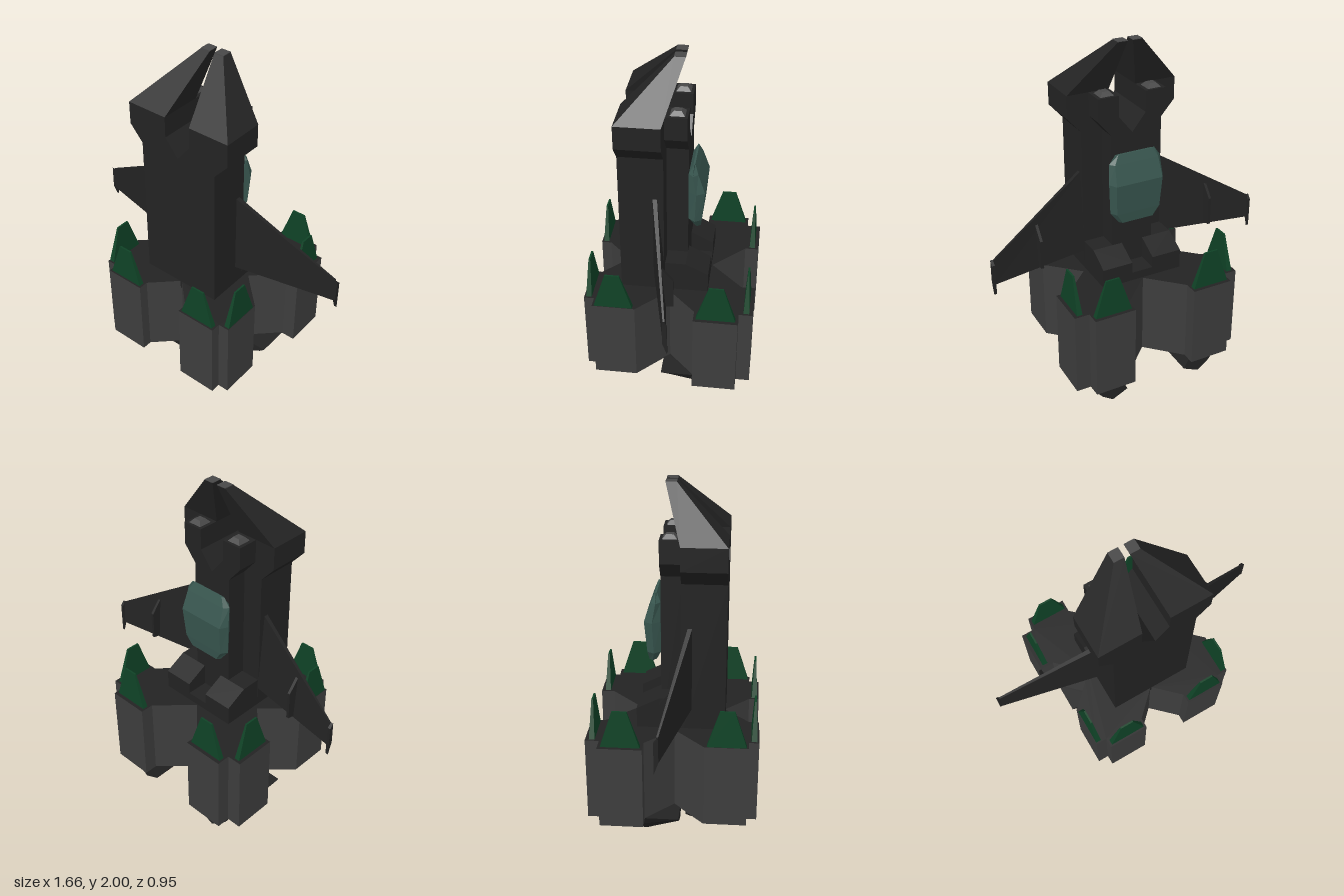
import * as THREE from 'three';

const mat = (name, color, opts = {}) =>
  Object.assign(new THREE.MeshStandardMaterial({ color, flatShading: true, ...opts }), { name });

export function createModel() {
  const hull = mat('hull black', 0x232323);
  const grey = mat('pod grey', 0x3d3d3d);
  const green = mat('fin green', 0x0f4226);
  const glass = mat('canopy glass', 0x38564f);
  const red = mat('exhaust red', 0x360808, { side: THREE.DoubleSide });
  const metal = mat('tip grey', 0x484848);

  const model = new THREE.Group();
  model.name = 'starfighter';
  const add = (name, geo, material) => {
    const m = new THREE.Mesh(geo, material);
    m.name = name;
    model.add(m);
    return m;
  };

  // Joins cross-sections into a closed, flat-faced solid with outward faces
  const loft = (rings) => {
    const n = rings[0].length, tris = [];
    for (let r = 0; r < rings.length - 1; r++)
      for (let i = 0; i < n; i++) {
        const j = (i + 1) % n, a = rings[r], b = rings[r + 1];
        tris.push([a[i], a[j], b[j]], [a[i], b[j], b[i]]);
      }
    const end = rings[rings.length - 1];
    for (let i = 1; i < n - 1; i++) tris.push([rings[0][0], rings[0][i + 1], rings[0][i]], [end[0], end[i], end[i + 1]]);
    const c = new THREE.Vector3(...rings[0][0]);
    let volume = 0;
    for (const t of tris) {
      const [p, q, s] = t.map((v) => new THREE.Vector3(...v).sub(c));
      volume += p.dot(q.cross(s));
    }
    if (volume < 0) tris.forEach((t) => t.reverse());
    const g = new THREE.BufferGeometry();
    g.setAttribute('position', new THREE.Float32BufferAttribute(tris.flat(2), 3));
    g.computeVertexNormals();
    return g;
  };
  const rectY = (x0, x1, z0, z1, y) => [[x0, y, z0], [x1, y, z0], [x1, y, z1], [x0, y, z1]];
  const box = (x0, x1, y0, y1, z0, z1) => loft([rectY(x0, x1, z0, z1, y0), rectY(x0, x1, z0, z1, y1)]);
  const mirrored = (half) => [...half, ...half.filter((p) => p[0] > 0).reverse().map(([x, y]) => [-x, y])];
  const extrude = (pts, depth) =>
    new THREE.ExtrudeGeometry(new THREE.Shape(pts.map((p) => new THREE.Vector2(...p))), { depth, bevelEnabled: false });

  // Fuselage and its rear spine, both with a forked, flared head
  const forked = (w, flare, y0) =>
    mirrored([[0, 1.5], [0.08, 1.6], [0.08, 1.72], [flare, 1.72], [flare, 1.59], [w, 1.5], [w, y0]]);
  add('fuselage', extrude(forked(0.245, 0.325, 0.6), 0.245).translate(0, 0, 0.035), hull);
  add('spine', extrude(forked(0.125, 0.2, 0.6), 0.12).translate(0, 0, -0.085), hull);

  // Cross-shaped engine block: dark caps, grey walls
  const rightHalf = [[0, -0.275], [0.145, -0.415], [0.145, -0.472], [0.385, -0.472], [0.385, -0.415], [0.45, -0.415],
    [0.45, -0.175], [0.32, -0.05], [0.27, 0], [0.43, 0.155], [0.51, 0.155], [0.51, 0.4], [0.425, 0.4],
    [0.425, 0.478], [0.185, 0.478], [0.185, 0.4], [0, 0.218]];
  const block = extrude(mirrored(rightHalf), 0.49);
  block.rotateX(-Math.PI / 2).translate(0, 0.16, 0);
  add('engineBlock', block, [hull, grey]);

  // Canopy: octagonal outline swelling away from the spine
  const canopyRing = (y, w, zOut, zIn) =>
    [[-w * 0.8, y, zIn], [w * 0.8, y, zIn], [w, y, (zIn + zOut) / 2], [w * 0.85, y, zOut], [-w * 0.85, y, zOut], [-w, y, (zIn + zOut) / 2]];
  add('canopy', loft([
    canopyRing(1.0, 0.11, -0.152, -0.112), canopyRing(1.06, 0.155, -0.16, -0.085),
    canopyRing(1.24, 0.165, -0.176, -0.085), canopyRing(1.35, 0.155, -0.138, -0.085),
    canopyRing(1.4, 0.12, -0.118, -0.108)]), glass);
  add('rearDeck', box(-0.245, 0.245, 0.6, 0.7, -0.212, 0.04), hull);

  for (const s of [1, -1]) {
    const side = s > 0 ? 'left' : 'right';
    const put = (name, geo, m) => add(side + name, geo, m);
    const flip = (rings) => rings.map((r) => r.map(([x, y, z]) => [s * x, y, z]));
    const part = (name, rings, m = hull) => put(name, loft(flip(rings)), m);

    // Nose prongs, their tips and the gun muzzles
    part('Prong', [rectY(0.08, 0.325, 0.035, 0.28, 1.72), rectY(0.015, 0.072, -0.06, 0, 1.997)]);
    part('ProngTip', [rectY(0.015, 0.072, -0.06, 0, 1.997), rectY(0.015, 0.072, -0.06, 0, 2)], metal);
    part('GunMuzzle', [rectY(0.1, 0.18, -0.07, 0.01, 1.72), rectY(0.12, 0.16, -0.05, -0.01, 1.742)], metal);

    // Swept wing with fence and tip spike
    part('Wing', [
      [[0.22, 1.265, 0.1], [0.22, 1.265, 0.075], [0.22, 0.77, 0.035], [0.22, 0.77, 0.1]],
      [[0.815, 0.905, -0.035], [0.815, 0.905, -0.045], [0.815, 0.76, -0.055], [0.815, 0.76, -0.035]]]);
    const plate = (x, pts) => [x, x + 0.016].map((px) => pts.map(([y, z]) => [px, y, z]));
    part('WingFence', plate(0.532, [[1.04, 0.02], [0.95, -0.055], [0.78, -0.055], [0.77, 0.02]]));
    part('WingTipSpike', plate(0.814, [[0.905, -0.035], [0.88, -0.058], [0.7, -0.058], [0.77, -0.033]]));

    // Sloped shoulders behind the spine
    const slope = [[0.65, 0.03], [0.65, -0.212], [0.765, -0.212], [0.83, -0.085], [0.83, 0.03]];
    part('Shoulder', [0.065, 0.245].map((x) => slope.map(([y, z]) => [x, y, z])));

    // Fins standing on the pods, two on each
    const fin = (name, x, z, alongX) => {
      const [a, b] = alongX ? [0.108, 0.016] : [0.016, 0.108];
      const [c, d] = alongX ? [0.04, 0.005] : [0.005, 0.04];
      part(name, [rectY(x - a, x + a, z - b, z + b, 0.65), rectY(x - c, x + c, z - d, z + d, 0.86)], green);
    };
    fin('FrontFin', 0.265, 0.446, true);
    fin('FrontSideFin', 0.431, 0.297, false);
    fin('RearFin', 0.305, -0.441, true);
    fin('RearSideFin', 0.474, -0.277, false);

    // Square front nozzle with a red mouth
    part('Nozzle', [rectY(0.03, 0.217, 0.062, 0.25, 0.17), rectY(0.03, 0.217, 0.062, 0.25, 0.06),
      rectY(0.06, 0.19, 0.09, 0.222, 0.03)]);
    part('NozzleMouth', [rectY(0.085, 0.165, 0.115, 0.197, 0.032), rectY(0.085, 0.165, 0.115, 0.197, 0.027)], red);
    part('SmallNozzle', [rectY(0.02, 0.1, -0.06, 0.03, 0.17), rectY(0.03, 0.09, -0.05, 0.02, 0.12)]);

    // Curved rear exhaust flap, shallower at its front end
    const flap = [[0.43, 0.165], [0.4, 0.11], [0.35, 0.05], [0.285, 0.005], [0.19, 0.05], [0.25, 0.165]];
    const section = (z, k) => flap.map(([x, y]) => [x, 0.165 - (0.165 - y) * k, z]);
    part('ExhaustFlap', [section(0.035, 0.5), section(-0.15, 1), section(-0.392, 1)]);
    part('ExhaustGlow', [-0.17, -0.385].map((z) =>
      [[0.28, 0.009, z], [0.278, 0.004, z], [0.194, 0.044, z], [0.196, 0.049, z]]), red);
  }
  return model;
}
